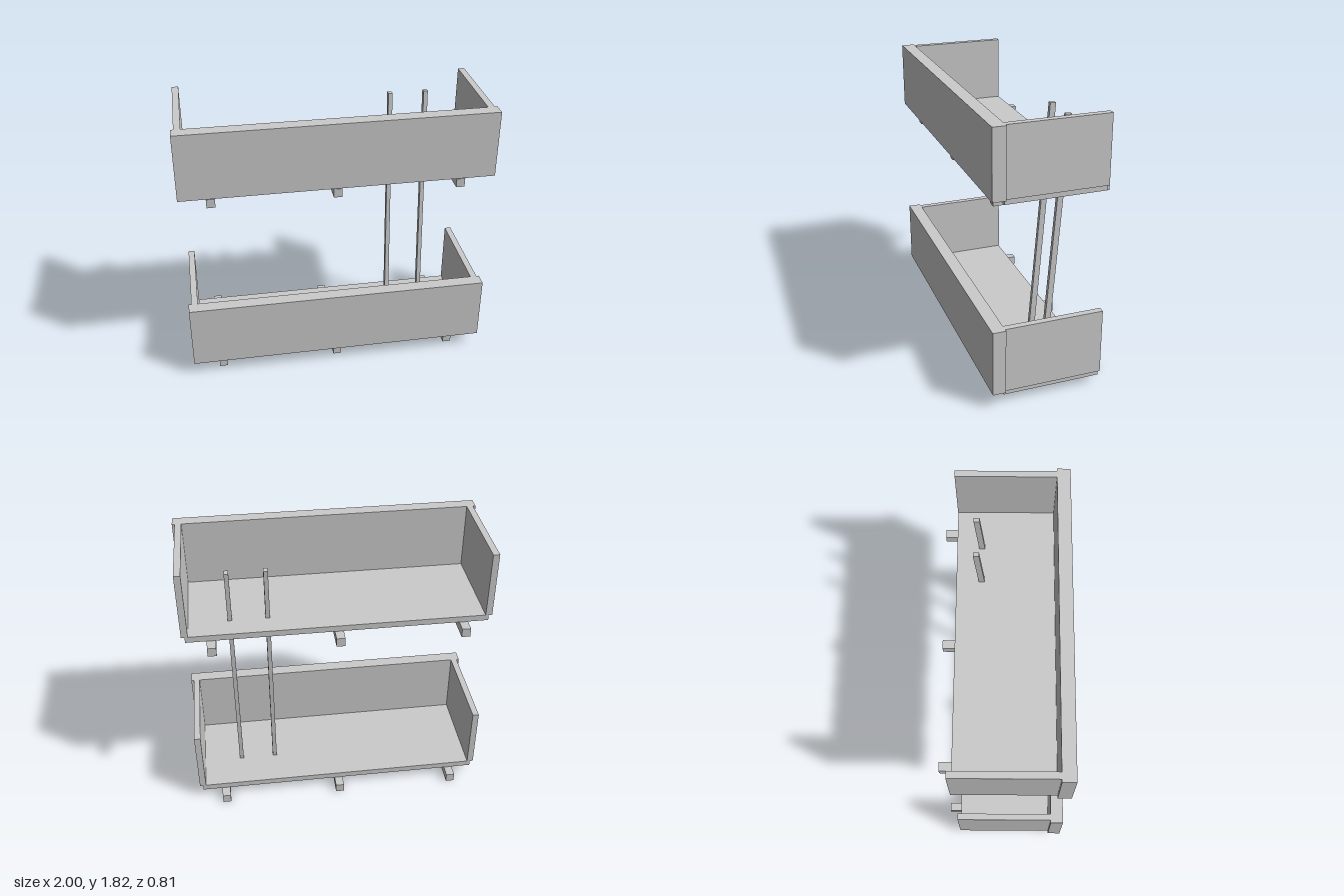
import * as THREE from 'three';

const material = new THREE.MeshStandardMaterial({ color: 0xcccccc, flatShading: true });

// Box given by its minimum and maximum on each axis
function box(name, [x0, x1], [y0, y1], [z0, z1]) {
  const mesh = new THREE.Mesh(new THREE.BoxGeometry(x1 - x0, y1 - y0, z1 - z0), material);
  mesh.name = name;
  mesh.position.set((x0 + x1) / 2, (y0 + y1) / 2, (z0 + z1) / 2);
  return mesh;
}

// One open-backed tray: bearers, floor, front board and two side boards
function createTray(name) {
  const tray = new THREE.Group();
  tray.name = name;
  for (const x of [-0.8, 0, 0.8]) {
    tray.add(box('bearer', [x - 0.028, x + 0.028], [0, 0.06], [-0.4, 0.34]));
  }
  tray.add(box('floor', [-0.96, 0.96], [0.06, 0.1], [-0.32, 0.32]));
  tray.add(box('frontBoard', [-1, 1], [0.1, 0.54], [0.32, 0.405]));
  tray.add(box('leftSideBoard', [0.94, 0.982], [0.1, 0.54], [-0.322, 0.32]));
  tray.add(box('rightSideBoard', [-0.982, -0.94], [0.1, 0.54], [-0.322, 0.32]));
  return tray;
}

// Square pole leaning back from the lower floor through the upper one
function createPole(x) {
  const bottom = new THREE.Vector3(x, 0.09, -0.058);
  const top = new THREE.Vector3(x, 1.74, -0.182);
  const pole = new THREE.Mesh(new THREE.BoxGeometry(0.028, bottom.distanceTo(top), 0.038), material);
  pole.name = 'ladderPole';
  pole.position.copy(bottom).add(top).multiplyScalar(0.5);
  pole.rotation.x = Math.atan2(top.z - bottom.z, top.y - bottom.y);
  return pole;
}

export function createModel() {
  const model = new THREE.Group();
  model.name = 'twoTierBunk';
  const upper = createTray('upperTray');
  upper.position.y = 1.28;
  model.add(createTray('lowerTray'), upper);
  for (const x of [0.437, 0.677]) model.add(createPole(x));
  return model;
}
